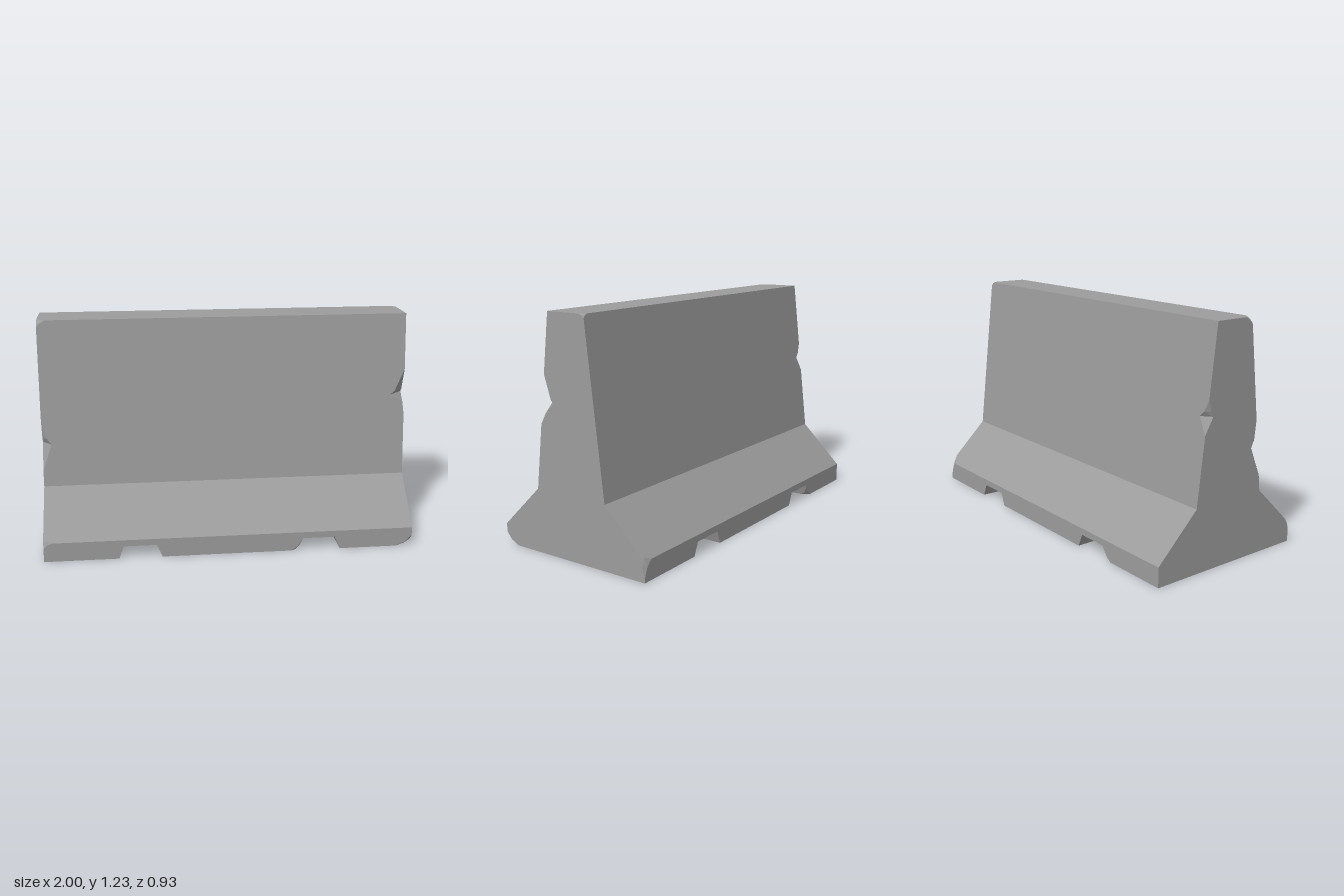
import * as THREE from 'three';

const V = (x, y, z) => new THREE.Vector3(x, y, z);

// Flat-shaded mesh from a list of triangles
function triMesh(tris, material, name) {
  const g = new THREE.BufferGeometry().setFromPoints(tris.flat());
  g.computeVertexNormals();
  const m = new THREE.Mesh(g, material);
  m.name = name;
  return m;
}

// Triangulate a planar, possibly concave ring, keeping its outward side
function fillRing(ring) {
  const n = V(0, 0, 0);
  ring.forEach((p, i) => n.add(p.clone().cross(ring[(i + 1) % ring.length])));
  n.normalize();
  const u = (Math.abs(n.x) > 0.9 ? V(0, 0, 1) : V(1, 0, 0)).cross(n).normalize();
  const w = n.clone().cross(u);
  const flat = ring.map((p) => new THREE.Vector2(p.dot(u), p.dot(w)));
  return THREE.ShapeUtils.triangulateShape(flat, []).map((t) => t.map((i) => ring[i]));
}

// Turn a triangle so that it faces along a direction
function facing(a, b, c, dir) {
  const n = b.clone().sub(a).cross(c.clone().sub(a));
  return n.dot(dir) < 0 ? [a, c, b] : [a, b, c];
}

export function createModel() {
  const concrete = new THREE.MeshStandardMaterial({ color: 0x9c9c9c });
  concrete.name = 'concrete grey';

  // Named corners: R/L = end profiles, f/b = foot grooves on front and back
  const P = {};
  const half = [[0.453, 0], [0.453, 0.105], [0.217, 0.335], [0.113, 1.225]];
  const profile = [...half, ...half.map(([z, y]) => [-z, y]).reverse()];
  profile.forEach(([z, y], i) => {
    P['R' + i] = V(0.995, y, z);
    P['L' + i] = V(-0.995, y, z);
  });
  const grooveX = [-0.6, -0.575, -0.4, -0.37, 0.365, 0.39, 0.565, 0.595];
  grooveX.forEach((x, i) => {
    const y = i % 4 === 1 || i % 4 === 2 ? 0.07 : 0;
    P['f' + i] = V(x, y, 0.453);
    P['b' + i] = V(x, y, -0.453);
  });

  // Outward rings of the plain barrier
  const seq = [0, 1, 2, 3, 4, 5, 6, 7];
  const front = ['L0', ...seq.map((i) => 'f' + i), 'R0'];
  const back = ['L7', ...seq.map((i) => 'b' + i), 'R7'];
  const rings = [
    { end: true, keys: [0, 7, 6, 5, 4, 3, 2, 1].map((i) => 'R' + i) },
    { end: true, keys: seq.map((i) => 'L' + i) },
    { keys: [...front, 'R1', 'L1'] },
    { keys: ['L6', 'R6', ...[...back].reverse()] },
  ];
  for (let i = 1; i < 6; i++) {
    rings.push({ keys: ['L' + i, 'R' + i, 'R' + (i + 1), 'L' + (i + 1)] });
  }
  for (let j = 0; j < 9; j++) {
    rings.push({ keys: [front[j], back[j], back[j + 1], front[j + 1]] });
  }

  const chipTris = [];

  // Broken corners: distance cut away along each of the three edges
  const chips = {
    L3: { L2: 0.035, L4: 0.045, R3: 0.045 },
    R4: { R5: 0.02, R3: 0.03, L4: 0.025 },
    R0: { R1: 0.06, R7: 0.08, f7: 0.085 },
    R6: { R5: 0.055, R7: 0.085, L6: 0.05 },
    L1: { L0: 0.03, L2: 0.035, R1: 0.045 },
    f4: { f3: 0.035, f5: 0.06, b4: 0.04 },
    b0: { L7: 0.035, b1: 0.06, f0: 0.04 },
  };
  const along = (k, n) =>
    P[k].clone().add(P[n].clone().sub(P[k]).setLength(chips[k][n]));
  const kink = (k, a, b) => along(k, a).add(along(k, b)).multiplyScalar(0.5).lerp(P[k], 0.22);
  for (const k in chips) {
    const ns = Object.keys(chips[k]);
    const mids = ns.map((n, i) => kink(k, n, ns[(i + 1) % 3]));
    const centre = mids[0].clone().add(mids[1]).add(mids[2]).divideScalar(3);
    const out = P[k].clone().sub(centre);
    chipTris.push(facing(...mids, out));
    ns.forEach((n, i) => chipTris.push(facing(along(k, n), mids[i], mids[(i + 2) % 3], out)));
  }

  // Broken upright edges: rows of [height, cut along x, cut along z], going up
  const notches = [
    ['R2', 'R3', [[0.67, 0, 0], [0.73, 0.045, 0.026], [0.78, 0.08, 0.07], [0.80, 0.055, 0.053], [0.92, 0, 0]]],
    ['L2', 'L3', [[0.42, 0, 0], [0.565, 0.05, 0.05], [0.60, 0.022, 0.03], [0.71, 0, 0]]],
    ['L5', 'L4', [[0.69, 0, 0], [0.775, 0.05, 0.04], [0.80, 0.025, 0.025], [0.86, 0, 0]]],
  ];
  const inserts = {};
  for (const [lo, hi, rows] of notches) {
    const A = P[lo], B = P[hi];
    const sx = Math.sign(A.x), sz = Math.sign(A.z);
    const edge = rows.map(([y]) => A.clone().lerp(B, (y - A.y) / (B.y - A.y)));
    const side = edge.map((p, i) => p.clone().add(V(-sx * rows[i][1], 0, 0)));
    const end = edge.map((p, i) => p.clone().add(V(0, 0, -sz * rows[i][2])));
    const out = V(sx, 0, sz);
    for (let i = 0; i + 1 < rows.length; i++) {
      if (i > 0) chipTris.push(facing(side[i], end[i], side[i + 1], out));
      if (i + 2 < rows.length) chipTris.push(facing(end[i], side[i + 1], end[i + 1], out));
    }
    inserts[lo + hi] = { side, end };
    inserts[hi + lo] = { side: [...side].reverse(), end: [...end].reverse() };
  }

  // Body faces with the broken corners and edges cut out
  const bodyTris = [];
  for (const { keys, end } of rings) {
    const ring = [];
    keys.forEach((k, i) => {
      const prev = keys[(i + keys.length - 1) % keys.length];
      const next = keys[(i + 1) % keys.length];
      if (chips[k]) ring.push(along(k, prev), kink(k, prev, next), along(k, next));
      else ring.push(P[k]);
      const cut = inserts[k + next];
      if (cut) ring.push(...(end ? cut.end : cut.side));
    });
    bodyTris.push(...fillRing(ring));
  }

  const barrier = new THREE.Group();
  barrier.name = 'roadBarrier';
  barrier.add(triMesh(bodyTris, concrete, 'barrierBody'));
  barrier.add(triMesh(chipTris, concrete, 'chippedEdges'));
  barrier.rotation.y = -0.01; // stands very slightly askew

  const model = new THREE.Group();
  model.name = 'concreteBarrier';
  model.add(barrier);
  return model;
}
